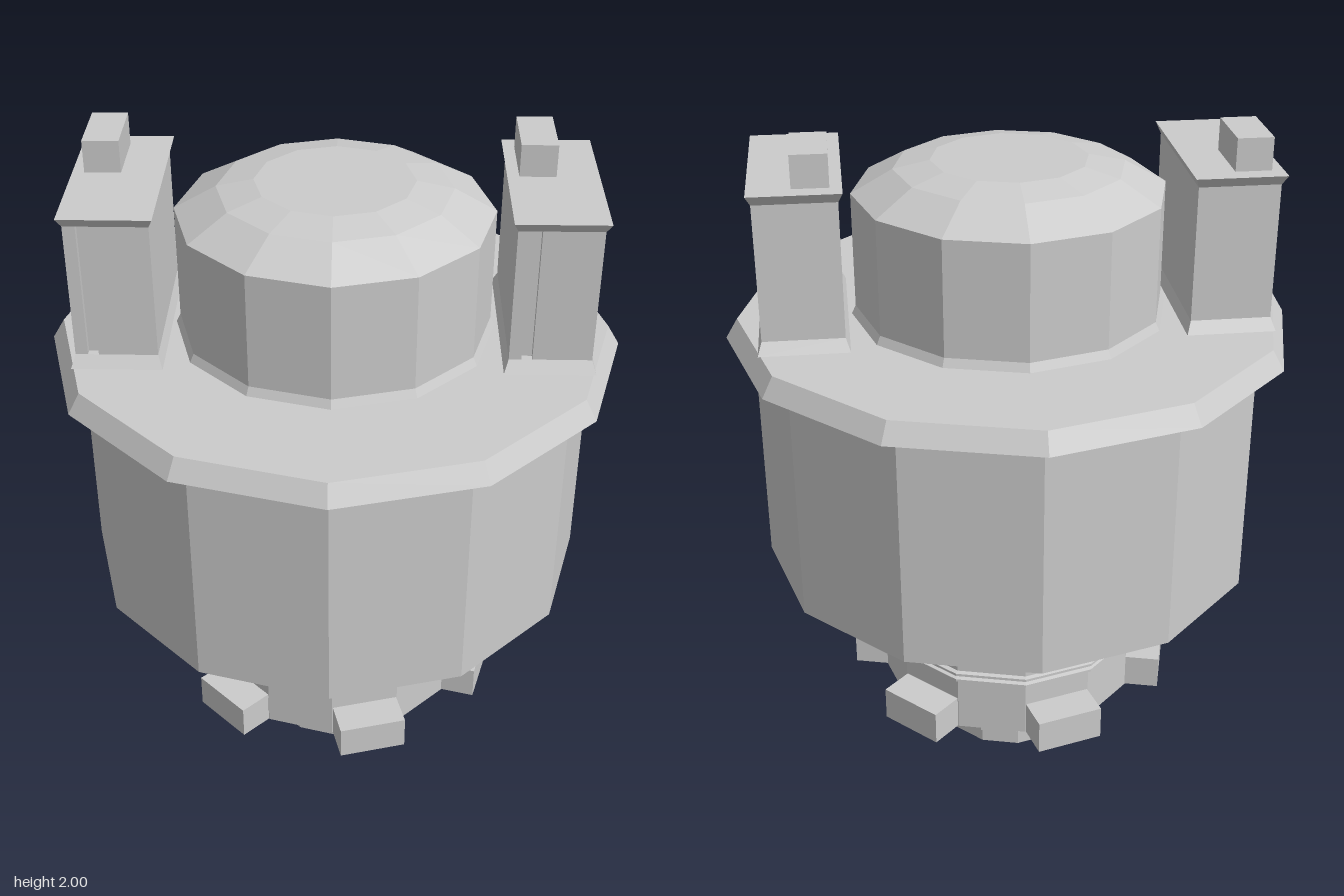
import * as THREE from 'three';

const SIDES = 12;
const mat = new THREE.MeshStandardMaterial({ color: 0xcccccc, flatShading: true });

function add(parent, name, geometry, x = 0, y = 0, z = 0) {
  const mesh = new THREE.Mesh(geometry, mat);
  mesh.name = name;
  mesh.position.set(x, y, z);
  parent.add(mesh);
  return mesh;
}

// Twelve-sided turned part from [radius, height] pairs, bottom to top
function turned(parent, name, profile) {
  const points = profile.map(([r, y]) => new THREE.Vector2(r, y));
  return add(parent, name, new THREE.LatheGeometry(points, SIDES));
}

// Block standing on y = 0 whose top rectangle differs from its bottom one
function tapered(w0, d0, w1, d1, h) {
  const geo = new THREE.BoxGeometry(w0, h, d0).translate(0, h / 2, 0);
  const pos = geo.attributes.position;
  for (let i = 0; i < pos.count; i++) {
    if (pos.getY(i) > h / 2) {
      pos.setX(i, pos.getX(i) * w1 / w0);
      pos.setZ(i, pos.getZ(i) * d1 / d0);
    }
  }
  geo.computeVertexNormals();
  return geo;
}

// Six copies on alternate faces of the twelve-sided core
function sixAround(parent, name, geometry, startDegrees) {
  const ring = new THREE.Group();
  ring.name = name + 'Ring';
  for (let i = 0; i < 6; i++) {
    add(ring, name, geometry).rotation.y = THREE.MathUtils.degToRad(startDegrees + 60 * i);
  }
  parent.add(ring);
}

// Upright housing with a grooved front, flared foot and cap, and a knob
function sideHousing(x) {
  const g = new THREE.Group();
  g.name = 'sideHousing';
  g.position.x = x;

  const outline = new THREE.Shape([
    [-0.115, -0.25], [-0.08, -0.25], [-0.08, -0.23], [-0.05, -0.23], [-0.05, -0.25],
    [0.115, -0.25], [0.115, 0.25], [-0.115, 0.25],
  ].map(([px, py]) => new THREE.Vector2(px, py)));
  const body = new THREE.ExtrudeGeometry(outline, { depth: 0.4, bevelEnabled: false });
  add(g, 'housingBody', body.rotateX(-Math.PI / 2), 0, 1.48, 0);

  add(g, 'housingFoot', tapered(0.255, 0.545, 0.23, 0.5, 0.035), 0, 1.45, 0);
  add(g, 'housingCap', tapered(0.23, 0.5, 0.255, 0.545, 0.03), 0, 1.877, 0);
  add(g, 'housingKnob', new THREE.BoxGeometry(0.102, 0.1, 0.198), -0.043, 1.95, -0.12);
  return g;
}

export function createModel() {
  const model = new THREE.Group();
  model.name = 'model';

  // Bottom hub with thin pegs
  turned(model, 'hub', [[0, 0], [0.225, 0], [0.225, 0.2]]);
  sixAround(model, 'hubPeg', new THREE.BoxGeometry(0.113, 0.02, 0.07).translate(0, 0.08, 0.22), 45);

  // Toothed collar
  turned(model, 'collar', [[0, 0.19], [0.404, 0.19], [0.404, 0.515], [0.375, 0.515], [0.375, 0.545]]);
  sixAround(model, 'collarTooth', new THREE.BoxGeometry(0.205, 0.105, 0.145).translate(0, 0.243, 0.4225), 15);

  // Two thin seal ribs
  for (const y of [0.366, 0.387]) {
    turned(model, 'sealRib', [[0.4, y], [0.417, y + 0.004], [0.417, y + 0.012], [0.4, y + 0.016]]);
  }

  // Neck ring with chamfered lugs
  turned(model, 'neckRing', [[0.37, 0.54], [0.404, 0.545], [0.404, 0.67]]);
  const lug = tapered(0.2, 0.115, 0.16, 0.075, 0.03).rotateX(Math.PI / 2).translate(0, 0.605, 0.388);
  sixAround(model, 'neckLug', lug, 15);

  // Main drum and its flange
  turned(model, 'drum', [[0, 0.67], [0.75, 0.67], [0.75, 1.4]]);
  turned(model, 'flange', [[0.74, 1.392], [0.828, 1.392], [0.793, 1.45], [0, 1.45]]);

  // Domed cover
  turned(model, 'dome', [
    [0.462, 1.45], [0.45, 1.475], [0.45, 1.813], [0.33, 1.88], [0.225, 1.902], [0, 1.902],
  ]);

  model.add(sideHousing(0.6), sideHousing(-0.6));
  return model;
}
